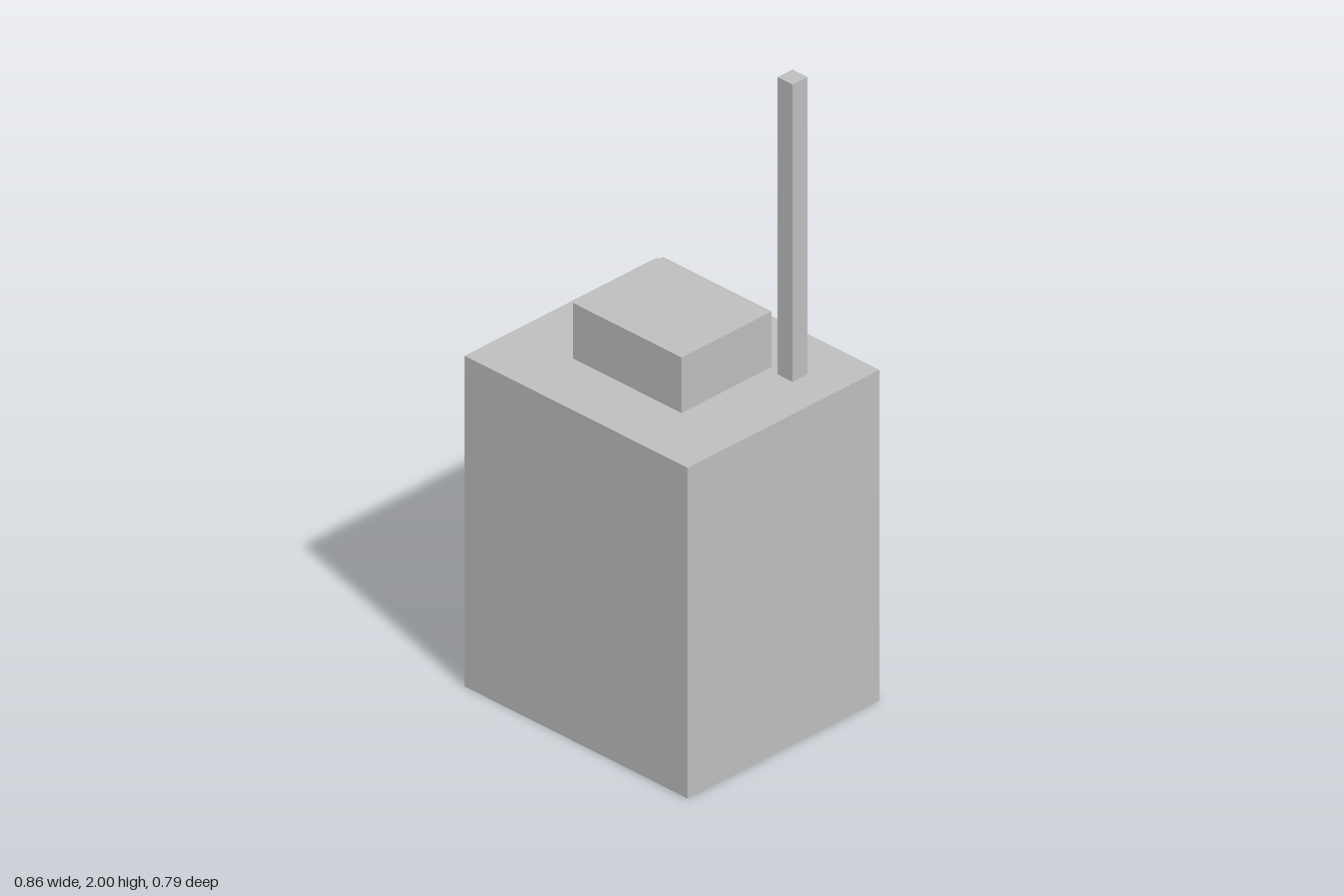
import * as THREE from 'three';

export function createModel() {
  const model = new THREE.Group();
  model.name = 'handheldRadio';

  const grey = new THREE.MeshStandardMaterial({ color: 0xbfbfbf });
  grey.name = 'grey';

  // Adds a box spanning the given [min, max] range on each axis
  function addBox(name, [x0, x1], [y0, y1], [z0, z1]) {
    const mesh = new THREE.Mesh(new THREE.BoxGeometry(x1 - x0, y1 - y0, z1 - z0), grey);
    mesh.position.set((x0 + x1) / 2, (y0 + y1) / 2, (z0 + z1) / 2);
    mesh.name = name;
    model.add(mesh);
  }

  const bodyTop = 1.053;
  const bodyBack = -0.351;

  // Main casing
  addBox('body', [-0.431, 0.431], [0, bodyTop], [bodyBack, 0.396]);
  // Raised block on top
  addBox('topBlock', [-0.21, 0.21], [bodyTop, 1.23], [-0.154, 0.197]);
  // Tall square antenna
  addBox('antenna', [0.25, 0.308], [bodyTop, 2], [-0.195, -0.137]);
  // Clip plate on the back
  addBox('backPlate', [-0.27, 0.27], [0.497, 0.704], [-0.397, bodyBack]);

  return model;
}
